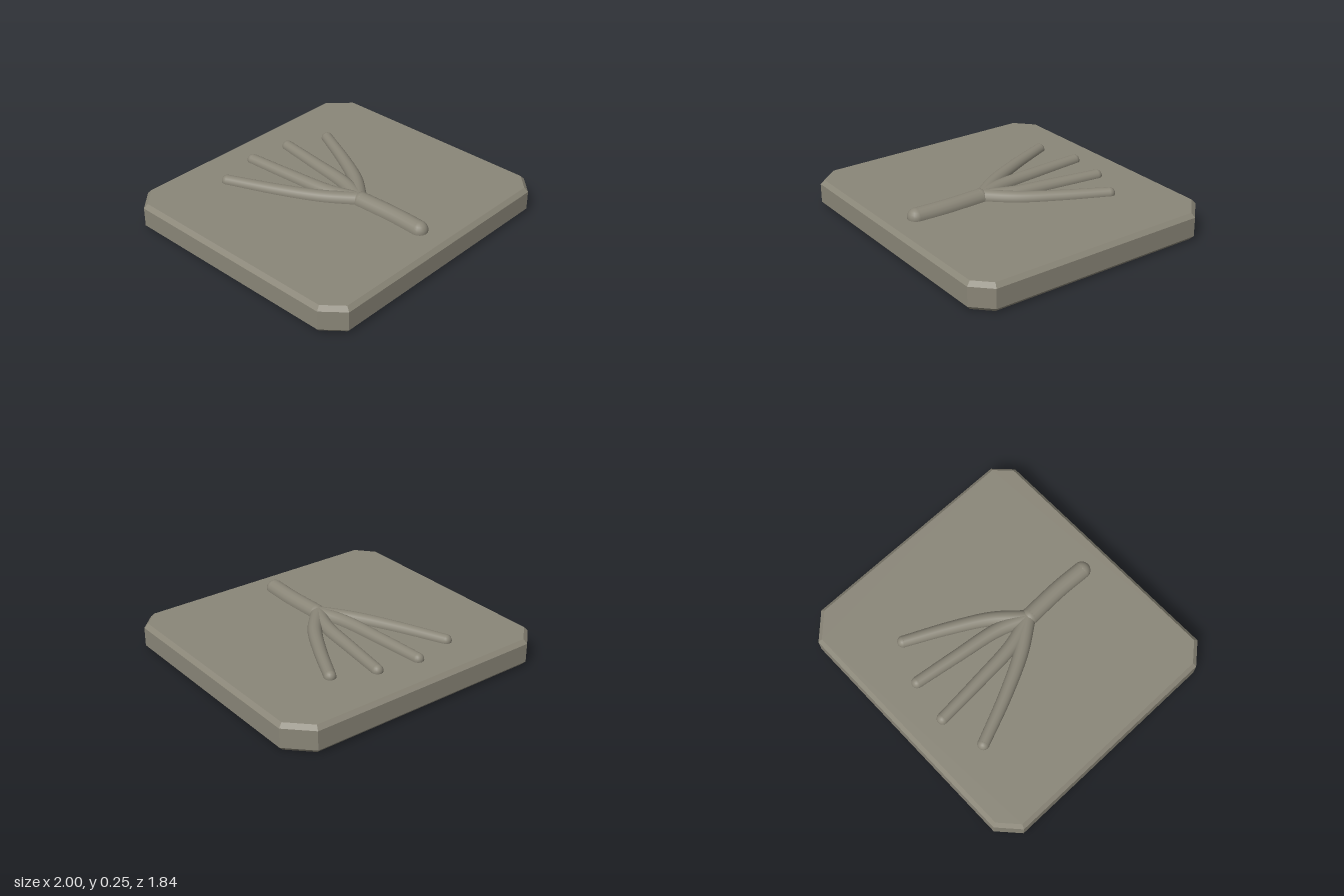
import * as THREE from 'three';

const stone = new THREE.MeshStandardMaterial({ color: 0x8a8678 });
stone.name = 'grey stone';

const RIDGE_Y = 0.195; // height of the ridge centre lines

// Slab with uneven clipped corners and chamfered edges
function makeSlab() {
  const outline = [
    [-0.88, 0.92], [0.88, 0.92], [1, 0.8], [1, -0.76],
    [0.84, -0.92], [-0.86, -0.92], [-1, -0.79], [-1, 0.78],
  ];
  const shape = new THREE.Shape(outline.map(([x, z]) => new THREE.Vector2(x, -z)));
  const bevel = 0.028, height = 0.188;
  const geo = new THREE.ExtrudeGeometry(shape, {
    depth: height - 2 * bevel, bevelEnabled: true, bevelSegments: 1,
    bevelThickness: bevel, bevelSize: 0.026, bevelOffset: -0.026,
  });
  geo.rotateX(-Math.PI / 2);
  geo.translate(0, bevel, 0);
  const mesh = new THREE.Mesh(geo, stone);
  mesh.name = 'slab';
  return mesh;
}

// Round ridge along [x, z] points, tapering from r0 to r1, with ball ends
function makeRidge(name, points, r0, r1) {
  const group = new THREE.Group();
  group.name = name;
  const path = new THREE.CatmullRomCurve3(points.map(([x, z]) => new THREE.Vector3(x, RIDGE_Y, z)));
  const steps = 24, sides = 16;
  const geo = new THREE.TubeGeometry(path, steps, r0, sides, false);
  const pos = geo.attributes.position;
  const v = new THREE.Vector3();
  for (let i = 0; i <= steps; i++) {
    const centre = path.getPointAt(i / steps);
    const scale = THREE.MathUtils.lerp(1, r1 / r0, i / steps);
    for (let j = 0; j <= sides; j++) {
      const k = i * (sides + 1) + j;
      v.fromBufferAttribute(pos, k).sub(centre).multiplyScalar(scale).add(centre);
      pos.setXYZ(k, v.x, v.y, v.z);
    }
  }
  const tube = new THREE.Mesh(geo, stone);
  tube.name = name + 'Body';
  group.add(tube);
  [[0, r0], [1, r1]].forEach(([t, r]) => {
    const cap = new THREE.Mesh(new THREE.SphereGeometry(r, 16, 12), stone);
    cap.position.copy(path.getPointAt(t));
    cap.name = name + (t ? 'Tip' : 'Base');
    group.add(cap);
  });
  return group;
}

export function createModel() {
  const model = new THREE.Group();
  model.name = 'carvedSlab';
  model.add(makeSlab());

  // Stem at the front, fanning into four branches towards the back
  model.add(makeRidge('stem', [[0, 0.705], [0.008, 0.5], [0, 0.22]], 0.06, 0.06));
  const branches = [
    [[0, 0.2], [-0.145, 0], [-0.29, -0.28], [-0.43, -0.605]],
    [[0, 0.2], [-0.065, 0], [-0.1, -0.34], [-0.125, -0.68]],
    [[0, 0.2], [0.075, 0], [0.125, -0.32], [0.17, -0.635]],
    [[0, 0.2], [0.16, 0.02], [0.3, -0.22], [0.445, -0.515]],
  ];
  branches.forEach((points, i) => model.add(makeRidge('branch' + (i + 1), points, 0.053, 0.04)));
  return model;
}
